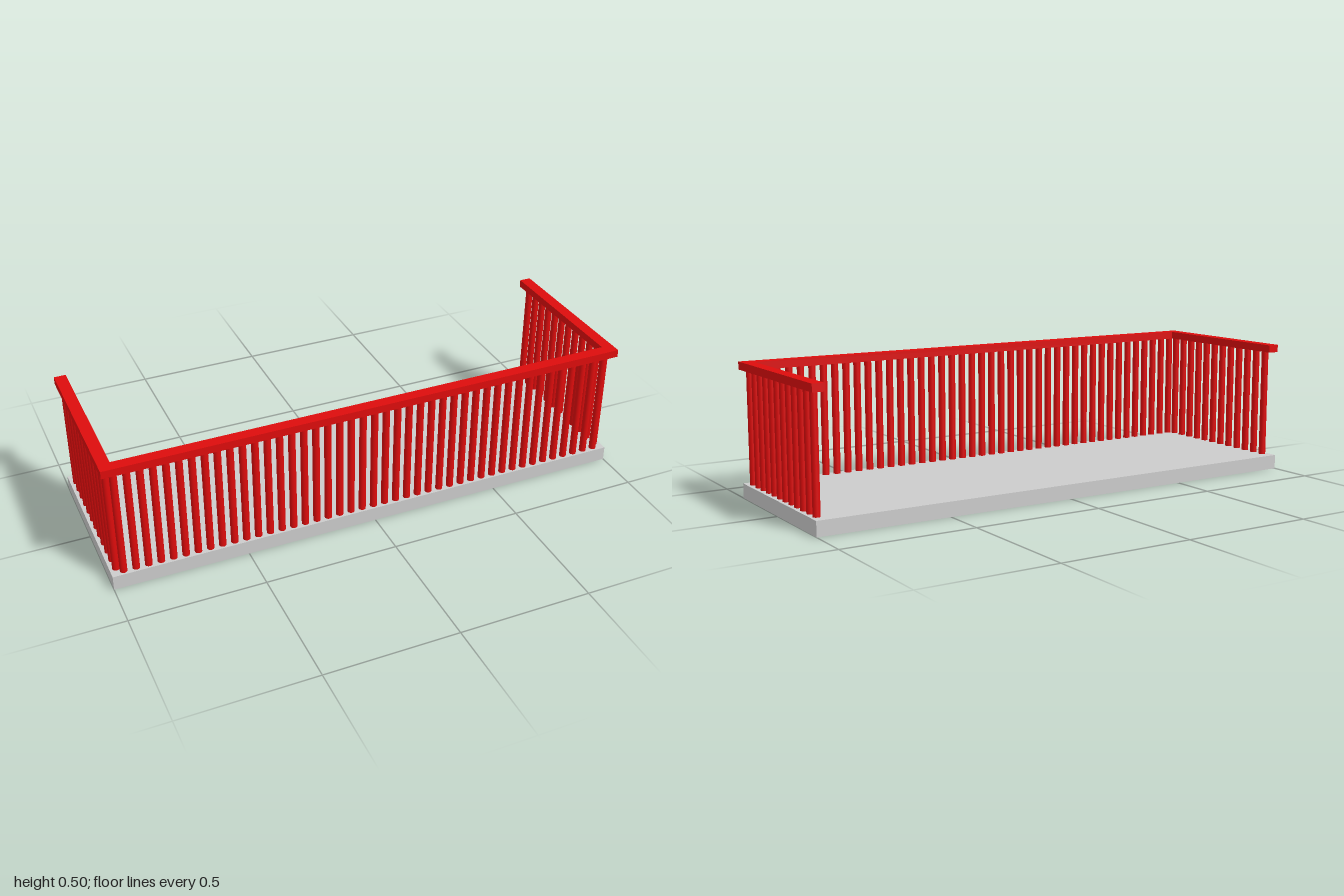
import * as THREE from 'three';

const SLAB_TOP = 0.055, RAIL_BOTTOM = 0.473, RAIL_TOP = 0.502;

export function createModel() {
  const model = new THREE.Group();
  const grey = new THREE.MeshStandardMaterial({ color: 0xcccccc });
  const red = new THREE.MeshStandardMaterial({ color: 0xdd0c0c });

  // Floor slab, set back slightly from the rail's front edge
  const floor = new THREE.Mesh(new THREE.BoxGeometry(2, SLAB_TOP, 0.655), grey);
  floor.name = 'floorSlab';
  floor.position.set(0, SLAB_TOP / 2, -0.0025);
  model.add(floor);

  // U-shaped handrail, open at the back; shape y becomes +z once laid flat
  const outline = [[-1, -0.325], [-0.956, -0.325], [-0.956, 0.286], [0.956, 0.286],
    [0.956, -0.325], [1, -0.325], [1, 0.33], [-1, 0.33]];
  const shape = new THREE.Shape(outline.map(([x, z]) => new THREE.Vector2(x, z)));
  const railGeometry = new THREE.ExtrudeGeometry(shape, { depth: RAIL_TOP - RAIL_BOTTOM, bevelEnabled: false });
  railGeometry.rotateX(Math.PI / 2);
  const rail = new THREE.Mesh(railGeometry, red);
  rail.name = 'handrail';
  rail.position.y = RAIL_TOP;
  model.add(rail);

  // Round balusters, in evenly spaced rows
  const height = RAIL_BOTTOM - SLAB_TOP;
  const barGeometry = new THREE.CylinderGeometry(0.0133, 0.0133, height, 24);
  const addRow = (name, count, place) => {
    const row = new THREE.Group();
    row.name = name;
    for (let i = 0; i < count; i++) {
      const bar = new THREE.Mesh(barGeometry, red);
      bar.name = 'baluster';
      const [x, z] = place(i / (count - 1));
      bar.position.set(x, SLAB_TOP + height / 2, z);
      row.add(bar);
    }
    model.add(row);
  };
  addRow('frontBalusters', 43, t => [-0.955 + 1.91 * t, 0.304]);
  addRow('leftBalusters', 12, t => [0.976, -0.279 + 0.56 * t]);
  addRow('rightBalusters', 12, t => [-0.976, -0.279 + 0.56 * t]);

  return model;
}
